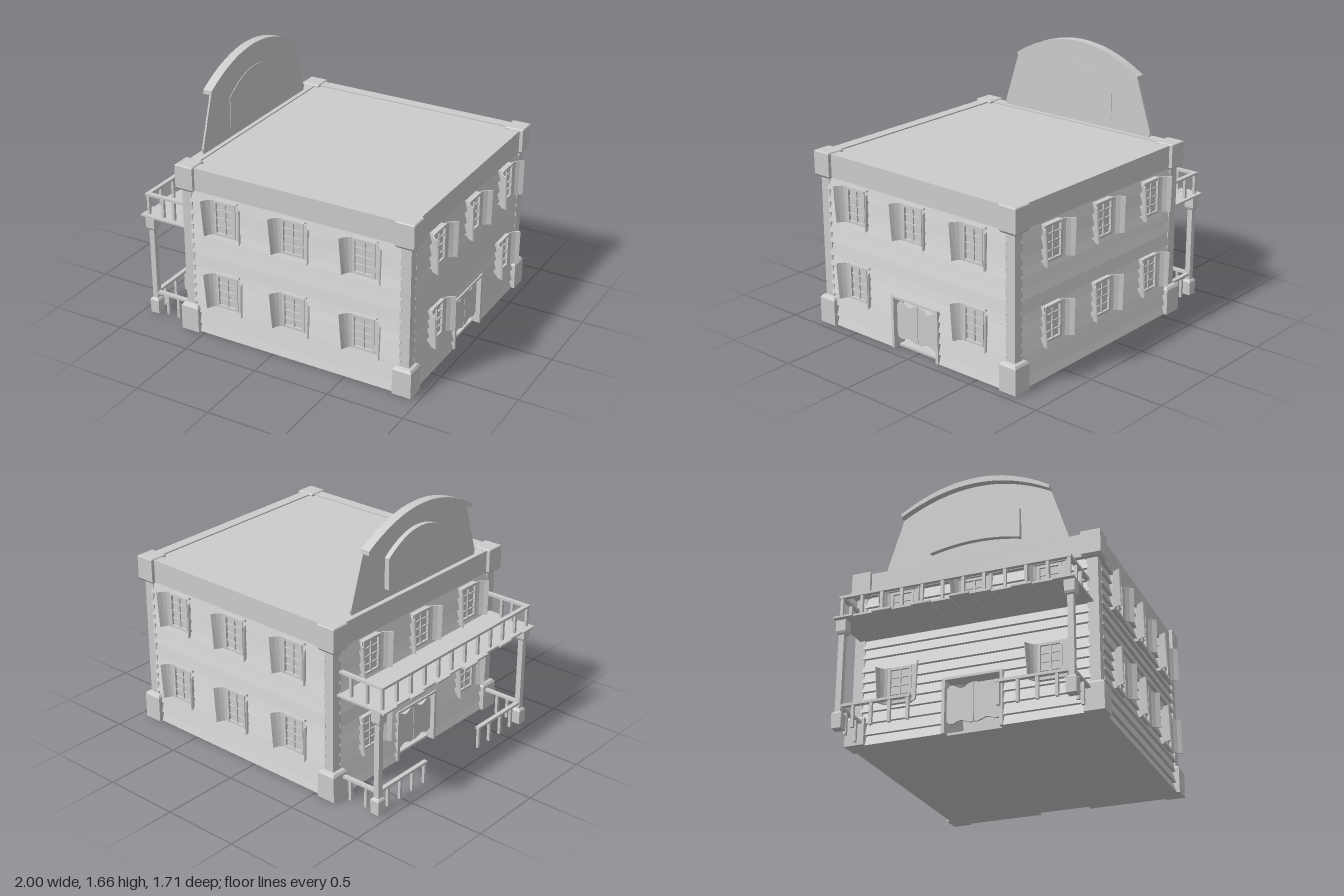
import * as THREE from 'three';

const mat = new THREE.MeshStandardMaterial({ color: 0xcccccc, flatShading: true, side: THREE.DoubleSide });

function add(parent, name, geo) {
  const m = new THREE.Mesh(geo, mat);
  m.name = name;
  parent.add(m);
  return m;
}

// Box given by its minimum and maximum on each axis
function span(parent, name, x0, x1, y0, y1, z0, z1) {
  const g = new THREE.BoxGeometry(x1 - x0, y1 - y0, z1 - z0);
  g.translate((x0 + x1) / 2, (y0 + y1) / 2, (z0 + z1) / 2);
  return add(parent, name, g);
}

// Square column from [half width, height] pairs
function squareColumn(parent, name, profile, x, z) {
  const pts = profile.map(([r, y]) => new THREE.Vector2(r * Math.SQRT2, y));
  const m = add(parent, name, new THREE.LatheGeometry(pts, 4, Math.PI / 4));
  m.position.set(x, 0, z);
}

function extrude(points, depth) {
  const shape = new THREE.Shape(points.map(([x, y]) => new THREE.Vector2(x, y)));
  return new THREE.ExtrudeGeometry(shape, { depth, bevelEnabled: false });
}

// Clapboard: lower edge stands proud, upper edge leans in
function plank(parent, x0, x1, y0, y1) {
  const m = span(parent, 'plank', x0, x1, y0, y1, 0.745, 0.784);
  const p = m.geometry.attributes.position;
  for (let i = 0; i < p.count; i++) {
    if (p.getY(i) > (y0 + y1) / 2 && p.getZ(i) > 0.77) p.setZ(i, 0.762);
  }
}

// Open shutter with a bent plan, narrowing toward the bottom
function shutter(parent, side, taper) {
  const plan = [[0.072, 0.795], [0.1, 0.806], [0.12, 0.826], [0.135, 0.853]];
  const back = plan.map(([x, z]) => [x + 0.006, z - 0.006]).reverse();
  const geo = extrude([...plan, ...back].map(([x, z]) => [side * x, -z]), 0.23);
  geo.rotateX(-Math.PI / 2);
  const p = geo.attributes.position;
  for (let i = 0; i < p.count; i++) {
    if (p.getY(i) < 0.1) p.setX(i, side * (0.072 + (Math.abs(p.getX(i)) - 0.072) * taper));
  }
  add(parent, 'shutter', geo);
}

function makeWindow(x, y) {
  const w = new THREE.Group();
  w.name = 'window';
  w.position.set(x, y, 0);
  span(w, 'pane', -0.07, 0.07, 0, 0.23, 0.75, 0.787);
  for (const s of [-1, 1]) {
    span(w, 'windowJamb', s * 0.068 - 0.008, s * 0.068 + 0.008, 0, 0.23, 0.75, 0.802);
  }
  for (const b of [0.008, 0.222]) span(w, 'windowRail', -0.07, 0.07, b - 0.008, b + 0.008, 0.75, 0.801);
  span(w, 'mullion', -0.005, 0.005, 0.01, 0.22, 0.78, 0.796);
  for (const b of [0.062, 0.115, 0.168]) span(w, 'glazingBar', -0.065, 0.065, b - 0.004, b + 0.004, 0.78, 0.795);
  shutter(w, -1, 0.72);
  shutter(w, 1, 0.9);
  return w;
}

// Door frame and a pair of scalloped swing doors
function makeDoorway(parent) {
  for (const s of [-1, 1]) {
    span(parent, 'doorJamb', s * 0.181 - 0.01, s * 0.181 + 0.01, 0, 0.335, 0.7, 0.792);
    const top = [[0.002, 0.31], [0.035, 0.3], [0.06, 0.282], [0.085, 0.277], [0.11, 0.29], [0.135, 0.303], [0.155, 0.3], [0.17, 0.28]];
    const low = [[0.17, 0.08], [0.15, 0.062], [0.125, 0.062], [0.1, 0.075], [0.075, 0.078], [0.045, 0.066], [0.02, 0.058], [0.002, 0.062]];
    const geo = extrude([...top, ...low].map(([x, y]) => [s * x, y]), 0.012);
    add(parent, 'swingDoor', geo).position.z = 0.75;
  }
  span(parent, 'doorHeader', -0.191, 0.191, 0.33, 0.345, 0.7, 0.792);
}

function makeSide(hasDoor) {
  const side = new THREE.Group();
  side.name = 'wallSide';
  const notch = hasDoor ? [[-0.18, 0], [-0.18, 0.335], [0.18, 0.335], [0.18, 0]] : [];
  add(side, 'wall', extrude([[-0.745, 0], ...notch, [0.745, 0], [0.745, 1.1], [-0.745, 1.1]], 0.04)).position.z = 0.71;

  const rows = [0, 0.064, 0.138, 0.21, 0.275, 0.34, 0.4, 0.468, 0.555, 0.62, 0.69, 0.75, 0.82, 0.9, 0.972];
  for (let i = 0; i + 1 < rows.length; i++) {
    if (hasDoor && rows[i] < 0.33) {
      plank(side, -0.72, -0.185, rows[i], rows[i + 1]);
      plank(side, 0.185, 0.72, rows[i], rows[i + 1]);
    } else plank(side, -0.72, 0.72, rows[i], rows[i + 1]);
  }
  for (const y of [0.23, 0.73]) {
    for (const x of [-0.46, 0.01, 0.485]) {
      if (!(hasDoor && y < 0.5 && x === 0.01)) side.add(makeWindow(x, y));
    }
  }
  if (hasDoor) makeDoorway(side);
  span(side, 'parapet', -0.72, 0.72, 0.98, 1.128, 0.71, 0.782);
  return side;
}

function makeHouse() {
  const house = new THREE.Group();
  house.name = 'house';
  house.position.x = 0.145;
  for (let k = 0; k < 4; k++) {
    const side = makeSide(k % 2 === 1);
    side.rotation.y = k * Math.PI / 2;
    house.add(side);
  }
  span(house, 'floor', -0.745, 0.745, 0, 0.015, -0.745, 0.745);
  span(house, 'roof', -0.72, 0.72, 1.09, 1.12, -0.72, 0.72);
  const profile = [[0, 0], [0.062, 0], [0.062, 0.165], [0.052, 0.18], [0.034, 0.185], [0.034, 0.965],
    [0.05, 0.97], [0.062, 0.985], [0.062, 1.13], [0.057, 1.136], [0, 1.136]];
  for (const x of [-1, 1]) for (const z of [-1, 1]) squareColumn(house, 'cornerPost', profile, x * 0.743, z * 0.743);
  return house;
}

// Arched false front above the entrance, profiles drawn in the z-y plane
function makeSign() {
  const sign = new THREE.Group();
  sign.name = 'falseFront';
  const arch = (half, peak, drop, n = 16) => Array.from({ length: n + 1 }, (_, i) => {
    const t = 1 - 2 * i / n;
    return [half * t, peak - drop * t * t];
  });
  const slab = (name, pts, x0, x1) => {
    const geo = extrude(pts, x1 - x0);
    geo.rotateY(Math.PI / 2);
    add(sign, name, geo).position.x = x0;
  };
  const top = arch(0.48, 1.655, 0.152);
  slab('signBoard', [[-0.592, 1.155], [-0.585, 1.125], [0.585, 1.125], [0.592, 1.155], ...top], -0.606, -0.594);
  slab('signTrim', [...arch(0.487, 1.656, 0.152), ...arch(0.49, 1.618, 0.14).reverse()], -0.65, -0.59);
  slab('signPanel', [...arch(0.292, 1.51, 0.118), ...arch(0.292, 1.228, 0.035).reverse()], -0.638, -0.59);
  return sign;
}

function makePorch() {
  const porch = new THREE.Group();
  porch.name = 'porch';
  // Deck boards with uneven ends
  const ends = [0.982, 0.97, 0.985, 0.968, 0.98, 0.968, 1.0, 0.985, 0.968, 0.982, 0.97, 0.98];
  const step = 1.49 / ends.length;
  ends.forEach((e, i) => {
    const z = -0.745 + i * step;
    span(porch, 'deckBoard', -e, -0.62, 0.68, 0.692, z + 0.001, z + step - 0.001);
  });
  const bar = (x, z, y0, y1) => span(porch, 'baluster', x - 0.009, x + 0.009, y0, y1, z - 0.009, z + 0.009);

  // Balcony railing
  span(porch, 'frontRail', -0.953, -0.925, 0.82, 0.836, -0.725, 0.725);
  for (let i = 0; i <= 11; i++) bar(-0.939, -0.71 + i * 1.42 / 11, 0.69, 0.825);

  const profile = [[0, 0], [0.03, 0], [0.032, 0.09], [0.025, 0.1], [0.018, 0.105], [0.018, 0.59],
    [0.026, 0.597], [0.032, 0.61], [0.032, 0.682], [0, 0.682]];
  for (const s of [-1, 1]) {
    const z = s * 0.71;
    squareColumn(porch, 'porchColumn', profile, -0.917, z);
    span(porch, 'sideRail', -0.953, -0.63, 0.82, 0.836, z - 0.014, z + 0.014);
    span(porch, 'lowerSideRail', -0.915, -0.63, 0.134, 0.15, z - 0.014, z + 0.014);
    for (const x of s > 0 ? [-0.83, -0.75] : [-0.83, -0.71]) {
      bar(x, z, 0.69, 0.825);
      bar(x, z, 0, 0.138);
    }
    // Short lower rail either side of the entrance
    span(porch, 'lowerFrontRail', -0.931, -0.903, 0.134, 0.15, Math.min(z, s * 0.26), Math.max(z, s * 0.26));
    for (let i = 0; i < 4; i++) bar(-0.917, s * (0.275 + i * 0.115), 0, 0.138);
  }
  return porch;
}

export function createModel() {
  const model = new THREE.Group();
  model.name = 'saloon';
  model.add(makeHouse(), makeSign(), makePorch());
  return model;
}
